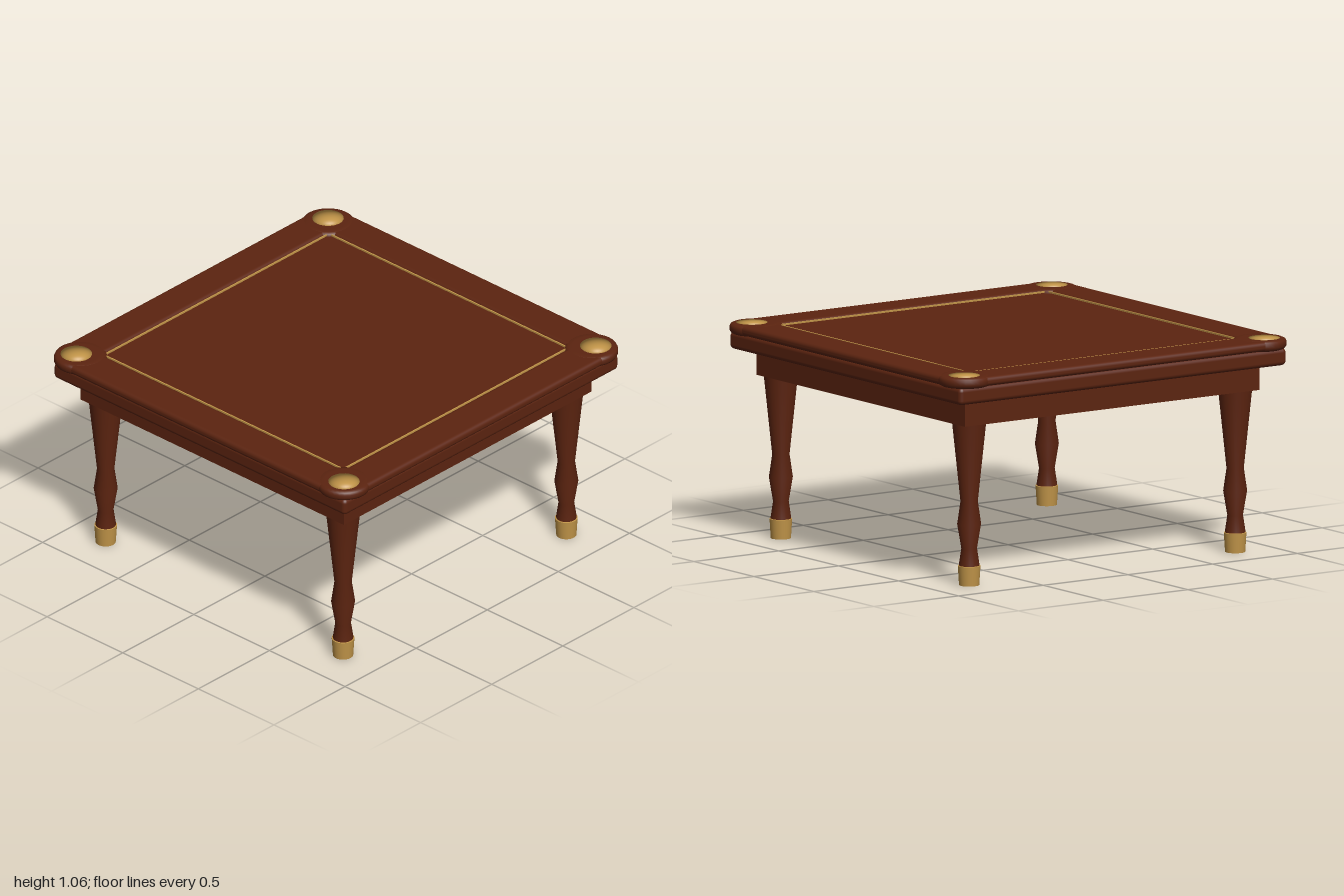
import * as THREE from 'three';
import { RoundedBoxGeometry } from 'three/addons/geometries/RoundedBoxGeometry.js';

const wood = new THREE.MeshStandardMaterial({ color: 0x5c2410 });
wood.name = 'mahogany';
const brass = new THREE.MeshStandardMaterial({ color: 0xc09448 });
brass.name = 'brass';

function add(parent, name, geometry, material, x = 0, y = 0, z = 0) {
  const mesh = new THREE.Mesh(geometry, material);
  mesh.name = name;
  mesh.position.set(x, y, z);
  parent.add(mesh);
  return mesh;
}

function lathe(points, segments = 24) {
  return new THREE.LatheGeometry(points.map(([r, y]) => new THREE.Vector2(r, y)), segments);
}

// Very low dome that keeps the rounded normals of a half ball
function studGeometry(radius, height) {
  const g = new THREE.SphereGeometry(radius, 28, 10, 0, Math.PI * 2, 0, Math.PI / 2);
  const p = g.attributes.position;
  for (let i = 0; i < p.count; i++) p.setY(i, (p.getY(i) / radius) * height);
  return g;
}

export function createModel() {
  const table = new THREE.Group();
  table.name = 'table';

  // Stacked body: apron, rounded slab, recessed playing panel
  add(table, 'apron', new THREE.BoxGeometry(1.74, 0.14, 1.74), wood, 0, 0.865, 0);
  add(table, 'slab', new RoundedBoxGeometry(1.93, 0.085, 1.93, 3, 0.022), wood, 0, 0.962, 0);
  add(table, 'panel', new THREE.BoxGeometry(1.66, 0.04, 1.66), wood, 0, 1.015, 0);

  // Rails and brass inlay lines along the four sides
  const railShape = new RoundedBoxGeometry(1.8, 0.046, 0.19, 3, 0.02);
  const lineShape = new THREE.BoxGeometry(1.588, 0.008, 0.007);
  for (let i = 0; i < 4; i++) {
    const side = new THREE.Group();
    side.name = 'side' + (i + 1);
    side.rotation.y = (i * Math.PI) / 2;
    add(side, 'rail', railShape, wood, 0, 1.027, 0.895);
    add(side, 'inlayLine', lineShape, brass, 0, 1.041, 0.7915);
    table.add(side);
  }

  // Corner discs, brass studs and turned legs
  const discShape = lathe([
    [0, 1.0], [0.112, 1.0], [0.123, 1.006], [0.13, 1.018], [0.13, 1.034],
    [0.125, 1.045], [0.112, 1.051], [0.09, 1.052], [0, 1.052],
  ], 32);
  const studShape = studGeometry(0.077, 0.004);
  const legShape = lathe([
    [0.045, 0.08], [0.05, 0.1], [0.038, 0.18], [0.058, 0.3], [0.042, 0.41], [0.083, 0.8],
  ]);
  const footShape = lathe([[0.049, 0], [0.055, 0.095]]);
  const footTop = lathe([[0.055, 0.095], [0.045, 0.097]]);
  const sole = new THREE.CircleGeometry(0.049, 24).rotateX(Math.PI / 2);

  for (const sx of [-1, 1]) {
    for (const sz of [-1, 1]) {
      const corner = new THREE.Group();
      corner.name = (sz > 0 ? 'front' : 'back') + (sx > 0 ? 'Left' : 'Right') + 'Corner';
      add(corner, 'cornerDisc', discShape, wood, sx * 0.87, 0, sz * 0.87);
      add(corner, 'stud', studShape, brass, sx * 0.885, 1.0515, sz * 0.885);
      const leg = new THREE.Group();
      leg.name = 'leg';
      leg.position.set(sx * 0.785, 0, sz * 0.785);
      add(leg, 'turnedLeg', legShape, wood);
      add(leg, 'footCap', footShape, brass);
      add(leg, 'footCapRim', footTop, brass);
      add(leg, 'sole', sole, wood);
      corner.add(leg);
      table.add(corner);
    }
  }
  return table;
}
